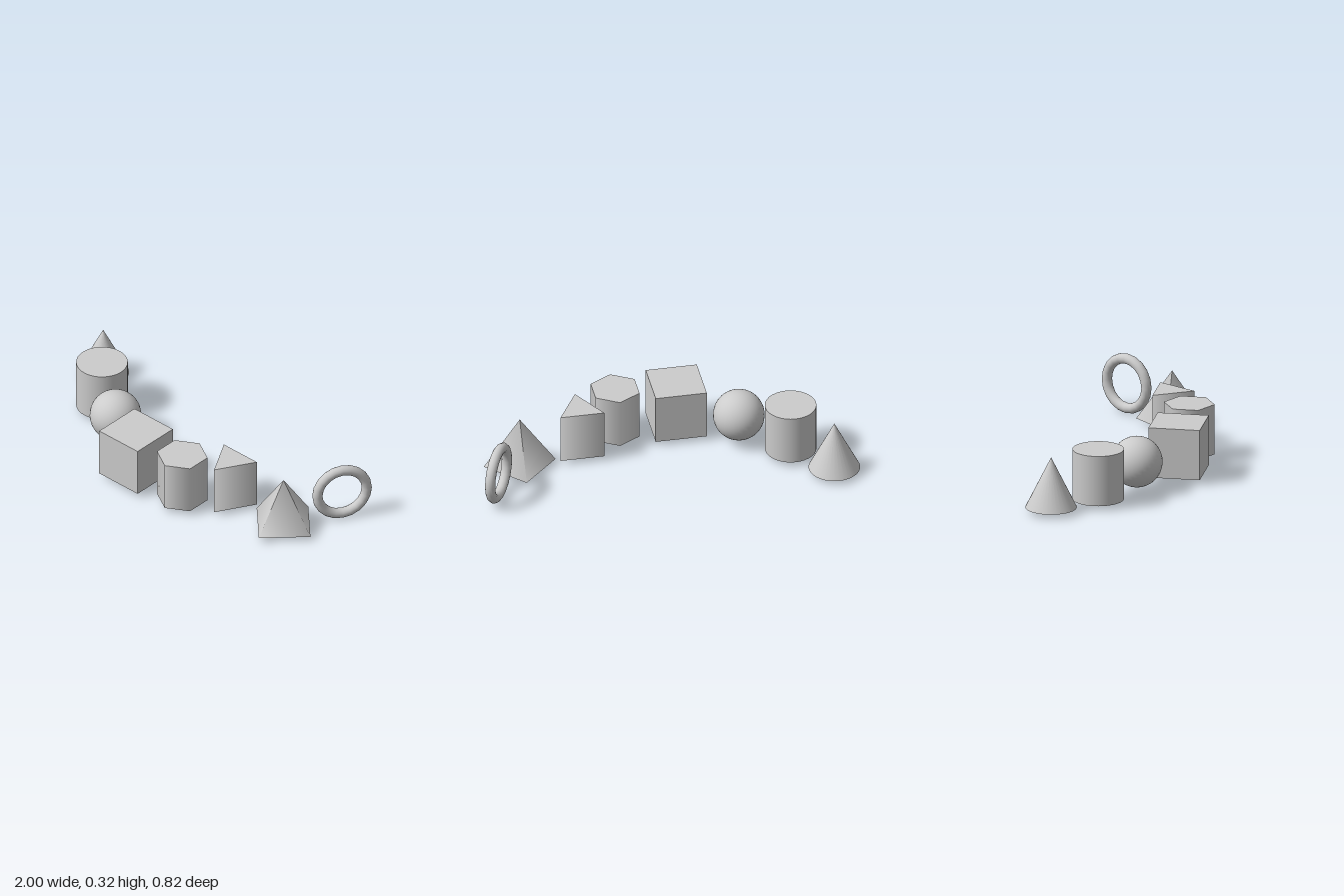
import * as THREE from 'three';

const R = 0.135; // shared radius of the solids
const H = 0.272; // shared height
const Y = 0.162; // shared centre height

export function createModel() {
  const group = new THREE.Group();
  group.name = 'primitiveSolids';
  const material = new THREE.MeshStandardMaterial({ color: 0xcccccc });

  const add = (name, geometry, x, z, turn = 0) => {
    const mesh = new THREE.Mesh(geometry, material);
    mesh.name = name;
    mesh.position.set(x, Y, z);
    mesh.rotation.y = turn;
    group.add(mesh);
  };

  // Upright prism, cylinder or cone with a given number of sides
  const column = (top, bottom, sides) => new THREE.CylinderGeometry(top, bottom, H, sides);

  // Round solids
  add('cone', column(0, R, 32), -0.865, -0.273);
  add('cylinder', column(R, R, 32), -0.675, -0.057);
  add('sphere', new THREE.SphereGeometry(R, 32, 24), -0.431, 0.104);

  // Faceted solids
  add('cube', new THREE.BoxGeometry(H, H, H), -0.131, 0.272);
  add('hexagonalPrism', column(R, R, 6), 0.195, 0.27);
  add('triangularPrism', column(R, R, 3), 0.411, 0.124);
  add('pyramid', column(0, R * Math.SQRT2, 4), 0.74, 0.081);

  // Ring standing on edge, turned around the vertical
  add('torus', new THREE.TorusGeometry(R, 0.027, 16, 20), 0.906, -0.19, Math.PI / 3);

  return group;
}
